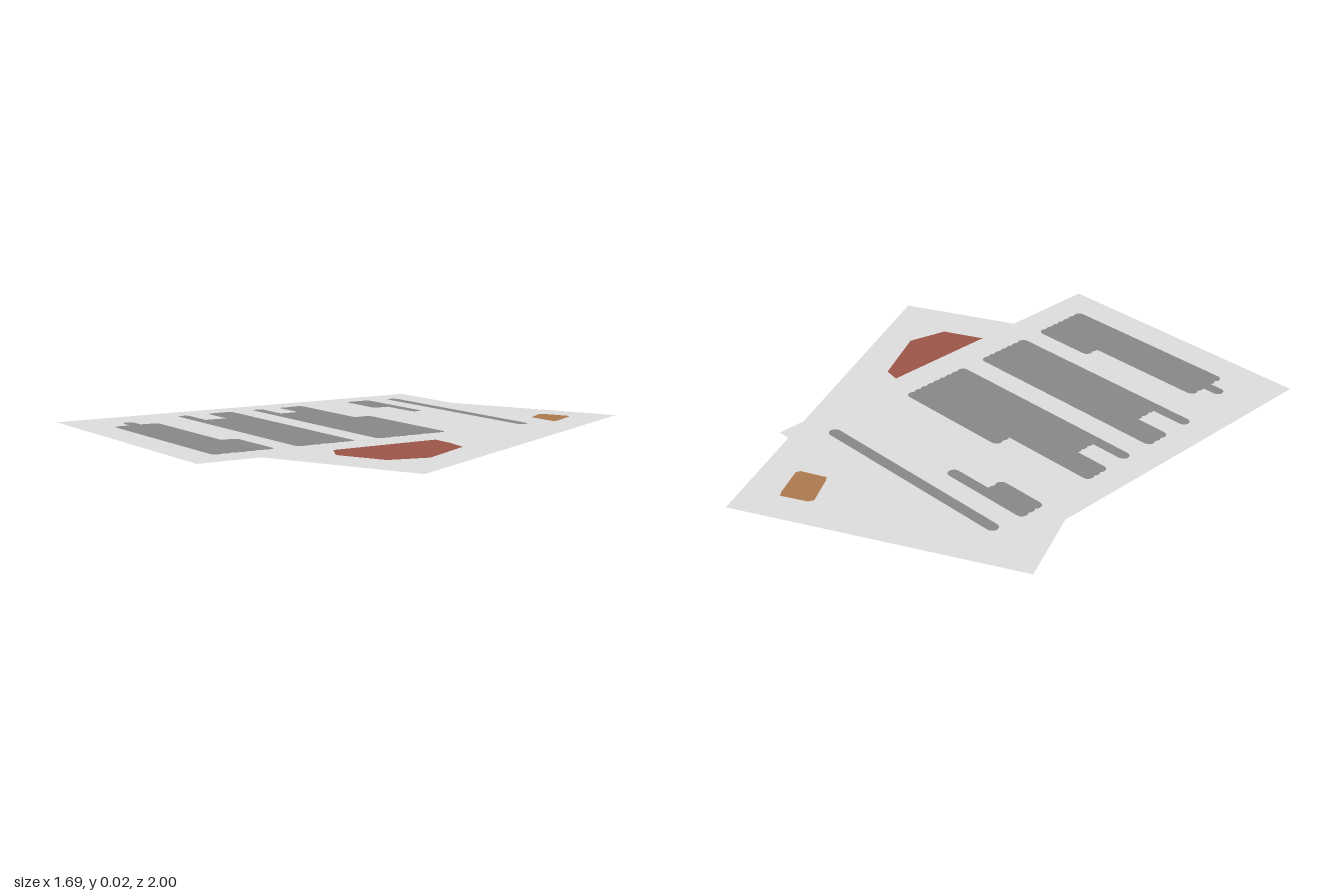
import * as THREE from 'three';

const flat = (name, color) => {
  const m = new THREE.MeshStandardMaterial({ color, side: THREE.DoubleSide });
  m.name = name;
  return m;
};

// Shapes are given in page coordinates: u to the right, v down from the top left corner
const polygon = (points) => new THREE.Shape(points.map(([u, v]) => new THREE.Vector2(u, -v)));

const PEN = 0.023; // half height of a line of writing

// One line of writing: a bar with round ends
function bar(v, u0, u1) {
  const s = new THREE.Shape();
  s.absarc(u1 - PEN, -v, PEN, -Math.PI / 2, Math.PI / 2, false);
  s.absarc(u0 + PEN, -v, PEN, Math.PI / 2, Math.PI * 1.5, false);
  s.closePath();
  return s;
}

// A block of closely spaced lines between two heights
function block(v0, v1, u0, u1) {
  const count = Math.max(1, Math.round((v1 - v0 - 2 * PEN) / 0.033) + 1);
  const step = count > 1 ? (v1 - v0 - 2 * PEN) / (count - 1) : 0;
  return Array.from({ length: count }, (_, i) => bar(v0 + PEN + i * step, u0, u1));
}

function layer(name, shapes, material, y = 0) {
  const mesh = new THREE.Mesh(new THREE.ShapeGeometry(shapes, 6).rotateX(-Math.PI / 2), material);
  mesh.name = name;
  mesh.position.y = y;
  return mesh;
}

// Ink shows on both faces of the page
function ink(page, name, shapes, material) {
  page.add(layer(name + 'Top', shapes, material, 0.0015));
  page.add(layer(name + 'Underside', shapes, material, -0.0015));
}

function sheet(name, x, y, z, degrees, material) {
  const page = new THREE.Group();
  page.name = name;
  page.position.set(x, y, z);
  page.rotation.y = THREE.MathUtils.degToRad(degrees);
  const w = 1.133, h = 1.606;
  page.add(layer(name + 'Paper', polygon([[0, 0], [0, h], [w, h], [w, 0]]), material));
  return page;
}

export function createModel() {
  const paper = flat('paper', 0xdcdcdc);
  const writing = flat('grey writing', 0x878787);
  const red = flat('red seal', 0x9b5447);
  const brown = flat('brown stamp', 0xab794d);

  const model = new THREE.Group();
  model.name = 'papers';

  // Lower sheet with stamp and seal
  const lower = sheet('lowerSheet', -0.5, 0.0015, -0.845, 7.9, paper);
  ink(lower, 'stamp', polygon([
    [0.862, 0.141], [0.88, 0.127], [0.987, 0.126], [0.994, 0.148],
    [1.003, 0.278], [0.991, 0.292], [0.884, 0.288], [0.877, 0.265],
  ]), brown);
  ink(lower, 'seal', polygon([
    [0.73, 0.91], [0.91, 1.0], [0.986, 1.055], [1.0, 1.32],
    [0.9, 1.44], [0.7, 1.44], [0.605, 1.31], [0.55, 1.04],
  ]), red);

  // Upper sheet with writing
  const upper = sheet('upperSheet', -0.36, 0.0215, -0.88, -17.7, paper);
  const title = [bar(0.145, 0.12, 1.01)];
  const greeting = [bar(0.275, 0.11, 0.5), ...block(0.252, 0.364, 0.11, 0.325)];
  const firstParagraph = [
    ...block(0.582, 0.69, 0.11, 0.6),
    ...block(0.512, 0.815, 0.505, 1.01),
    ...block(0.582, 0.815, 0.26, 0.6),
    bar(0.792, 0.11, 1.0),
  ];
  const secondParagraph = [
    ...block(0.908, 1.017, 0.11, 0.5),
    ...block(0.908, 1.15, 0.26, 1.01),
    bar(1.127, 0.11, 1.0),
  ];
  const thirdParagraph = [
    ...block(1.298, 1.48, 0.235, 0.85),
    ...block(1.237, 1.48, 0.735, 1.01),
    bar(1.39, 0.163, 1.0),
  ];
  const parts = { title, greeting, firstParagraph, secondParagraph, thirdParagraph };
  for (const [name, shapes] of Object.entries(parts)) ink(upper, name, shapes, writing);

  model.add(lower, upper);
  return model;
}
